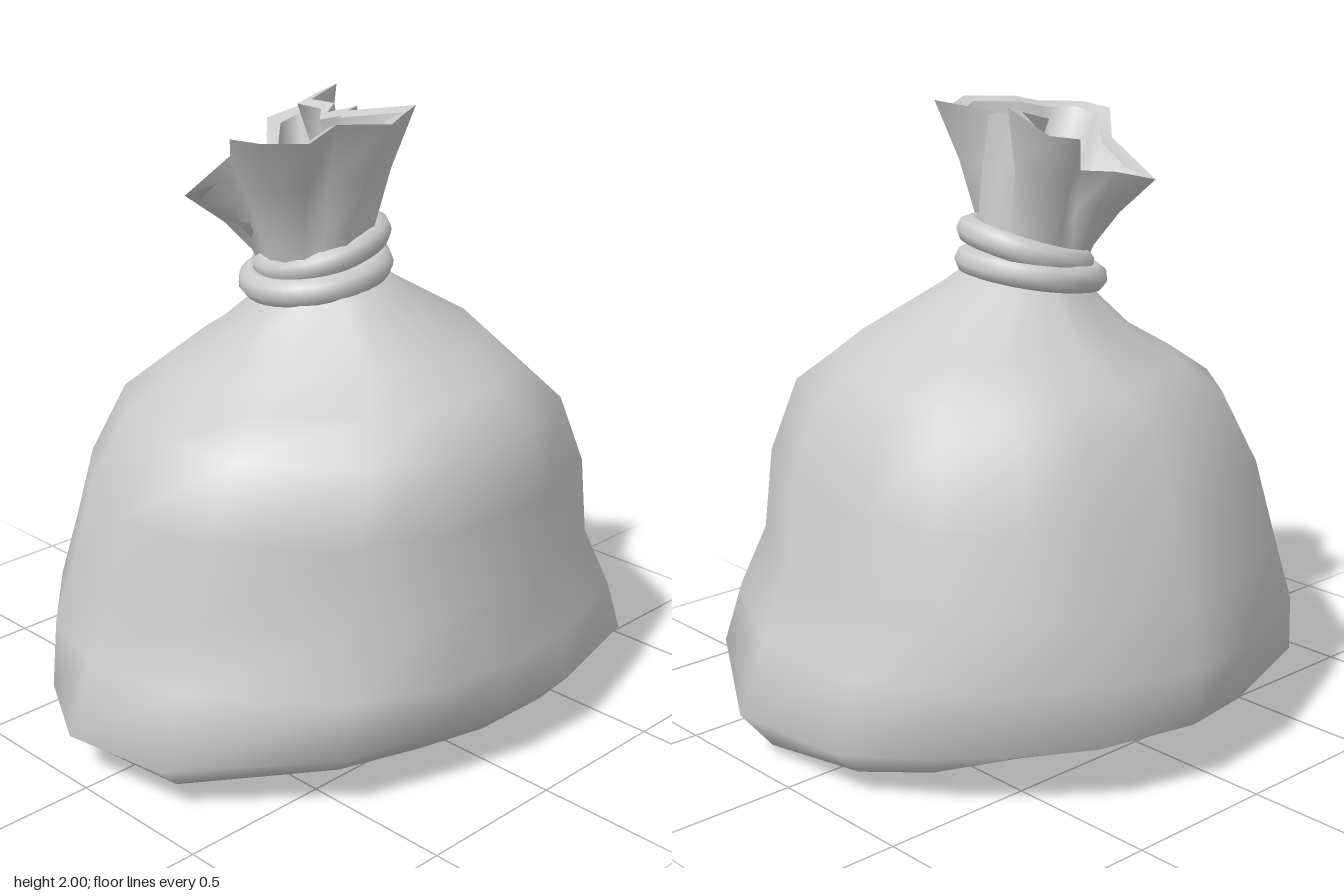
import * as THREE from 'three';

const lerp = THREE.MathUtils.lerp;

// Smooth skin over rings of points (ordered back, left, front, right); optional flat caps
function loft(rings, capStart = false, capEnd = false) {
  const n = rings[0].length, pos = [], index = [];
  rings.forEach(r => r.forEach(p => pos.push(...p)));
  for (let i = 0; i < rings.length - 1; i++) {
    for (let j = 0; j < n; j++) {
      const k = (j + 1) % n, a = i * n + j, b = i * n + k;
      index.push(a, a + n, b, b, a + n, b + n);
    }
  }
  const cap = (ring, start, flip) => {
    const c = pos.length / 3;
    pos.push(...[0, 1, 2].map(d => ring.reduce((s, p) => s + p[d], 0) / n));
    for (let j = 0; j < n; j++) {
      const a = start + j, b = start + (j + 1) % n;
      index.push(c, ...(flip ? [a, b] : [b, a]));
    }
  };
  if (capStart) cap(rings[0], 0, true);
  if (capEnd) cap(rings[rings.length - 1], (rings.length - 1) * n, false);
  const g = new THREE.BufferGeometry();
  g.setAttribute('position', new THREE.Float32BufferAttribute(pos, 3));
  g.setIndex(index);
  g.computeVertexNormals();
  return g;
}

// Height of the sagging underside at a given spot
function floorHeight(x, z) {
  const steps = [[-0.84, 0.23], [-0.25, 0.05], [0.28, 0], [0.73, 0.1], [0.84, 0.2]];
  let y = 0.23;
  for (let i = 0; i < 4; i++) {
    const [z0, y0] = steps[i], [z1, y1] = steps[i + 1];
    if (z >= z0) y = lerp(y0, y1, Math.min(1, (z - z0) / (z1 - z0)));
  }
  const frontRight = Math.max(0, (z - x) * 0.707 - 0.5);
  return y + 0.15 * Math.max(0, Math.abs(x) - 0.7) + 0.15 * frontRight;
}

// Widest outline of the sack, x and z
const OUTLINE = [
  [-0.61, -0.62], [-0.14, -0.8], [0.11, -0.84], [0.42, -0.75], [0.6, -0.6], [0.8, -0.39],
  [0.95, -0.18], [1, 0.24], [0.73, 0.71], [0.3, 0.83], [0, 0.82], [-0.25, 0.76],
  [-0.55, 0.66], [-0.95, 0.29], [-1, -0.07], [-0.85, -0.35],
];

function sackGeometry() {
  const rings = [0.3, 0.65, 0.9].map(s =>
    OUTLINE.map(([x, z]) => [x * s, floorHeight(x * s, z * s), z * s]));
  rings.push(OUTLINE.map(([x, z]) => [x, 0.155 + 0.08 * z * z, z]));
  // y, min x, max x, min z, max z, roundness, bulge of the back left corner
  const levels = [
    [0.38, -0.91, 0.9, -0.83, 0.84, 0, 0],
    [0.58, -0.83, 0.82, -0.79, 0.78, 0.1, 0.03],
    [0.84, -0.8, 0.78, -0.7, 0.78, 0.2, 0.05],
    [1.07, -0.69, 0.67, -0.59, 0.75, 0.4, 0.11],
    [1.17, -0.54, 0.58, -0.47, 0.62, 0.6, 0.17],
    [1.26, -0.38, 0.5, -0.36, 0.5, 0.8, 0.05],
    [1.42, -0.22, 0.23, -0.15, 0.28, 1, 0],
    [1.5, -0.17, 0.15, -0.14, 0.18, 1, 0],
  ];
  for (const [y, x0, x1, z0, z1, round, bulge] of levels) {
    rings.push(OUTLINE.map(([x, z]) => {
      const v = z / 0.84, len = Math.hypot(x, v);
      const corner = Math.max(0, (x - v) * 0.707 / len) ** 4;
      const r = lerp(Math.max(len, 1), 1, round) * (1 + bulge * corner) / len;
      return [(x0 + x1 + x * r * (x1 - x0)) / 2, y, (z0 + z1 + v * r * (z1 - z0)) / 2];
    }));
  }
  return loft(rings, true, true);
}

// Crumpled rim of the gathered mouth: x, y, z
const RIM = [
  [-0.39, 1.73, -0.18], [-0.12, 1.79, -0.26], [-0.11, 1.78, -0.12], [0.02, 1.9, -0.25],
  [0.14, 1.92, -0.24], [0.2, 2, -0.12], [0.08, 1.97, -0.11], [0.12, 1.96, -0.05],
  [0.04, 1.95, 0], [0.14, 1.96, 0.03], [0.07, 1.96, 0.06], [0.17, 1.99, 0.25],
  [0.08, 1.97, 0.27], [-0.05, 1.98, 0.36], [-0.17, 1.98, 0.25], [-0.31, 1.95, 0.28],
  [-0.41, 1.95, 0.18], [-0.4, 1.94, 0.04], [-0.31, 1.86, -0.06],
];

function mouthParts() {
  const n = RIM.length;
  const inner = RIM.map(([x, y, z], i) => {
    const p = RIM[(i + n - 1) % n], q = RIM[(i + 1) % n];
    const dx = q[0] - p[0], dz = q[2] - p[2], d = 0.045 / Math.hypot(dx, dz);
    return [x - dz * d, y - 0.015, z + dx * d];
  });
  // Rings that narrow from the rim to a round neck
  const blend = (rim, r, y0, t, s) => rim.map(([x, y, z], i) => {
    const a = -Math.PI * 0.75 + (i / n) * Math.PI * 2;
    return [lerp(-0.02 + r * Math.cos(a), x, s), lerp(y0, y, t), lerp(0.02 + r * Math.sin(a), z, s)];
  });
  const outer = [[0, 0], [0.3, 0.15], [0.65, 0.5], [1, 1]].map(([t, s]) => blend(RIM, 0.17, 1.45, t, s));
  const lining = [[1, 1], [0.65, 0.5], [0.3, 0.15]].map(([t, s]) => blend(inner, 0.13, 1.45, t, s));
  return { mouthOuter: loft(outer), mouthRim: loft([RIM, inner]), mouthLining: loft(lining, false, true) };
}

// One tilted loop of cord around the neck
function cordGeometry(cx, cz, radius, y, slopeX, slopeZ) {
  const pts = [];
  for (let i = 0; i < 12; i++) {
    const a = (i / 12) * Math.PI * 2, c = Math.cos(a), s = Math.sin(a);
    pts.push(new THREE.Vector3(cx + radius * c, y + slopeX * c + slopeZ * s, cz + radius * s));
  }
  return new THREE.TubeGeometry(new THREE.CatmullRomCurve3(pts, true), 32, 0.045, 8, true);
}

export function createModel() {
  const group = new THREE.Group();
  const cloth = new THREE.MeshStandardMaterial({ color: 0xcccccc, side: THREE.DoubleSide });
  cloth.name = 'grey cloth';
  const add = (name, geometry) => {
    const mesh = new THREE.Mesh(geometry, cloth);
    mesh.name = name;
    group.add(mesh);
  };

  add('sackBody', sackGeometry());
  for (const [name, geometry] of Object.entries(mouthParts())) add(name, geometry);
  add('lowerCord', cordGeometry(-0.025, 0.015, 0.2, 1.465, 0.03, 0.012));
  add('upperCord', cordGeometry(-0.005, 0.02, 0.175, 1.54, 0.045, 0.03));
  return group;
}
